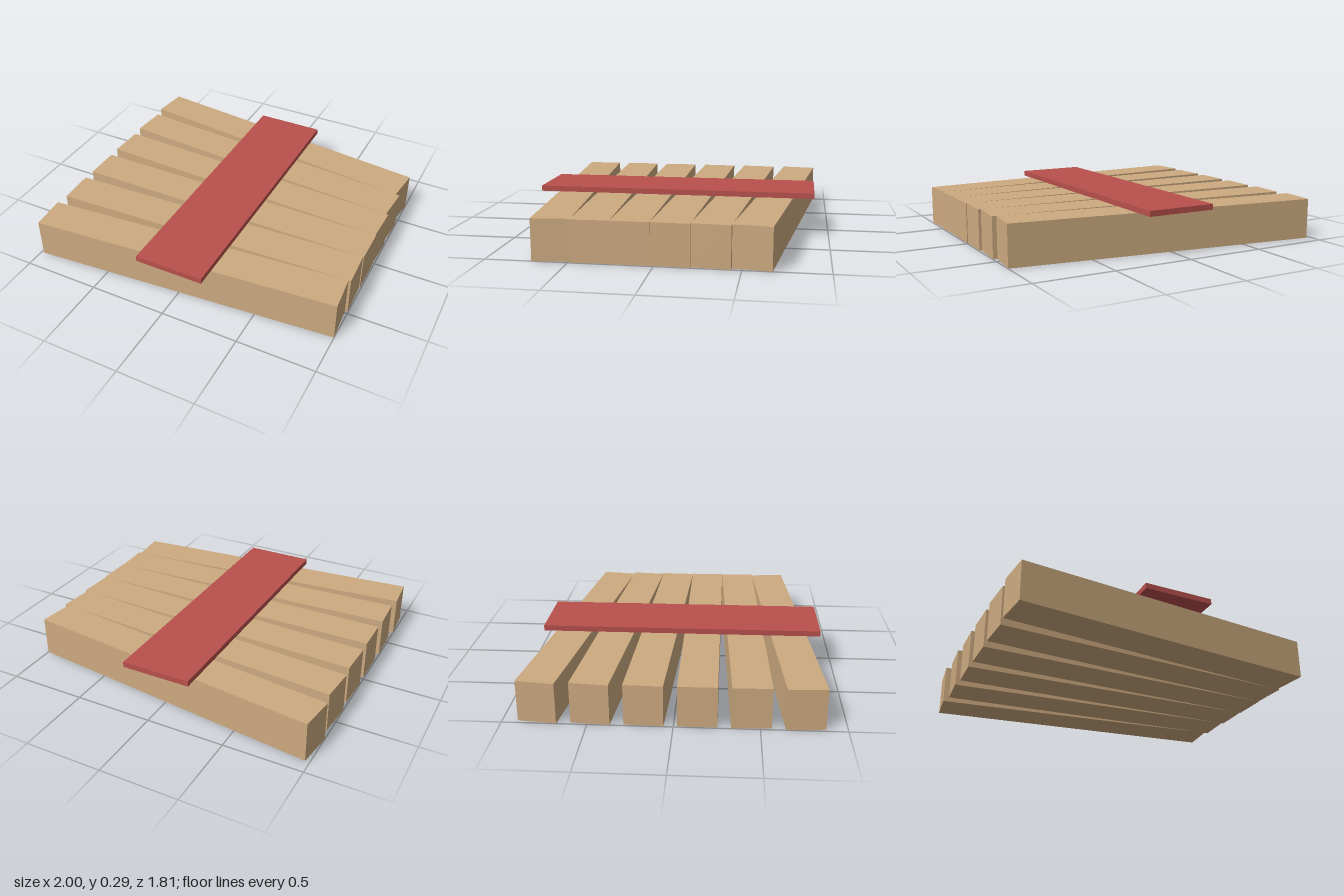
import * as THREE from 'three';

export function createModel() {
  const model = new THREE.Group();
  const wood = new THREE.MeshStandardMaterial({ color: 0xcdaa80 });
  wood.name = 'light wood';
  const red = new THREE.MeshStandardMaterial({ color: 0xb8504c });
  red.name = 'red band';

  const barHeight = 0.255;
  const bandHeight = 0.035;

  // Six bars fanned out towards -x, each turned a little from the next
  const bars = new THREE.Group();
  bars.name = 'bars';
  const barGeometry = new THREE.BoxGeometry(1.986, barHeight, 0.232);
  for (let i = 0; i < 6; i++) {
    const bar = new THREE.Mesh(barGeometry, wood);
    bar.name = `bar${i + 1}`;
    bar.position.set(0, barHeight / 2, -0.675 + 0.271 * i);
    bar.rotation.y = -0.04 * (3 - i);
    bars.add(bar);
  }
  model.add(bars);

  // Flat band lying across the bars
  const band = new THREE.Mesh(new THREE.BoxGeometry(0.445, bandHeight, 1.8), red);
  band.name = 'band';
  band.position.set(-0.002, barHeight + bandHeight / 2, 0);
  model.add(band);

  return model;
}
